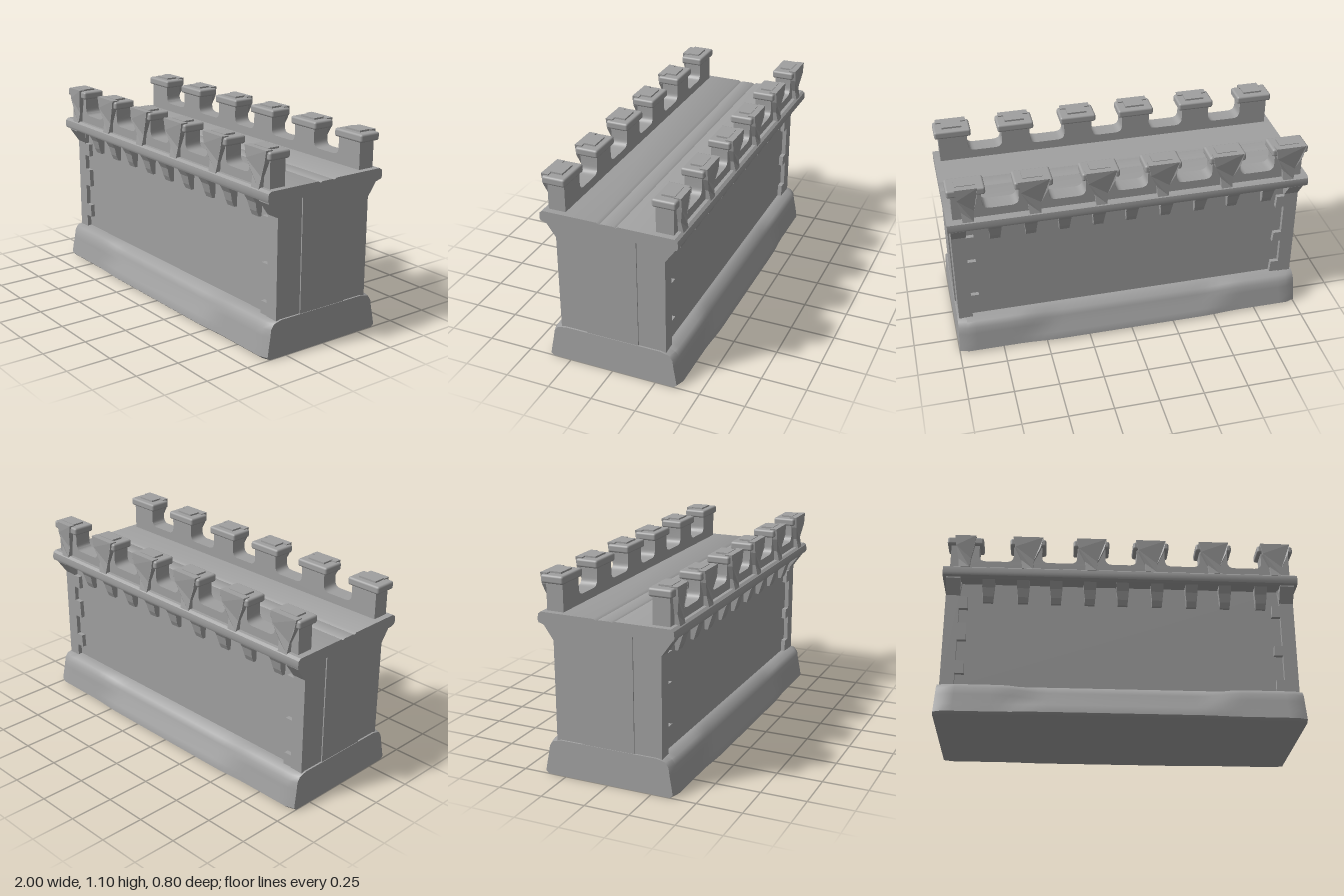
import * as THREE from 'three';
import { toCreasedNormals } from 'three/addons/utils/BufferGeometryUtils.js';
import { RoundedBoxGeometry } from 'three/addons/geometries/RoundedBoxGeometry.js';

const stone = new THREE.MeshStandardMaterial({ color: 0xa0a0a0 });
stone.name = 'stone grey';

const MERLONS = [-0.885, -0.53, -0.17, 0.17, 0.53, 0.885];
const CORBELS = [-0.745, -0.55, -0.365, -0.175, 0.01, 0.205, 0.4, 0.59, 0.795];

function add(parent, name, geometry, x = 0, y = 0, z = 0) {
  const mesh = new THREE.Mesh(geometry, stone);
  mesh.name = name;
  mesh.position.set(x, y, z);
  parent.add(mesh);
  return mesh;
}

const shapeOf = (pts) => new THREE.Shape(pts.map(([a, b]) => new THREE.Vector2(a, b)));

// Extrude a [z, y] profile along x, centred on x = 0
function alongX(pts, length, steps = 1) {
  const g = new THREE.ExtrudeGeometry(shapeOf(pts.map(([z, y]) => [-z, y])), { depth: length, steps, bevelEnabled: false });
  return g.translate(0, 0, -length / 2).rotateY(Math.PI / 2);
}

// Extrude an [x, y] outline from z0 to z1
function alongZ(shape, z0, z1) {
  return new THREE.ExtrudeGeometry(shape, { depth: z1 - z0, bevelEnabled: false, curveSegments: 5 }).translate(0, 0, z0);
}

// Complete a half profile by reflecting it in z
const bothSides = (half) => [...half, ...half.slice().reverse().map(([z, y]) => [-z, y])];

// Plinth: flared ends, with a softer, wider middle
function baseGeometry() {
  const g = alongX(bothSides([[0.37, 0], [0.388, 0.015], [0.38, 0.06], [0.368, 0.12], [0.362, 0.16], [0.342, 0.188], [0.29, 0.2]]), 2, 40);
  const p = g.attributes.position;
  for (let i = 0; i < p.count; i++) {
    const x = p.getX(i), y = p.getY(i), z = p.getZ(i), a = Math.abs(x);
    const middle = 1 - THREE.MathUtils.smoothstep(a, 0.42, 0.66);
    const corner = a > 0.98 ? 0.955 : 1;
    const spread = y < 0.08 ? 1 + 0.028 * middle : y < 0.195 ? 1 - 0.035 * middle : 1;
    const drop = y > 0.1 && y < 0.195 ? 0.018 * middle : 0;
    p.setXYZ(i, x * (1 - 0.04 * y), y - drop, z * corner * spread);
  }
  return toCreasedNormals(g, 0.75);
}

// Toothed corner stones; side is -1 or 1 and teeth are [bottom, top] pairs
function quoin(side, teeth) {
  const pts = [[side * 0.982, 0.19], [side * 0.905, 0.19]];
  for (const [low, high] of teeth) {
    pts.push([side * 0.905, low], [side * 0.855, low], [side * 0.86, high], [side * 0.905, high]);
  }
  pts.push([side * 0.895, 0.84], [side * 0.982, 0.84]);
  return alongZ(shapeOf(pts), 0.26, 0.305);
}

// Parapet outline: low wall with rounded gaps between the merlons
function parapetShape() {
  const s = new THREE.Shape(), w = 0.08, r = 0.04, low = 0.945, top = 1.06;
  s.moveTo(MERLONS[0] - w, 0.88);
  MERLONS.forEach((x, i) => {
    s.lineTo(x - w, top);
    s.lineTo(x + w, top);
    if (i === MERLONS.length - 1) return;
    const next = MERLONS[i + 1] - w;
    s.lineTo(x + w, low + r);
    s.quadraticCurveTo(x + w, low, x + w + r, low);
    s.lineTo(next - r, low);
    s.quadraticCurveTo(next, low, next, low + r);
  });
  s.lineTo(MERLONS[5] + w, 0.88);
  return s;
}

// Tapering hanging bracket on the outside of each merlon
function bracketGeometry(w) {
  const g = alongZ(shapeOf([[-0.03, 0.89], [0.03, 0.89], [0.035, 0.95], [w * 0.85, 1.03], [w, 1.095], [-w, 1.095], [-w * 0.85, 1.03], [-0.035, 0.95]]), 0.335, 0.376);
  const p = g.attributes.position;
  for (let i = 0; i < p.count; i++) {
    // slim waist at the middle of the bracket
    if (p.getZ(i) > 0.36 && p.getY(i) > 0.93 && p.getY(i) < 1) p.setZ(i, 0.364);
  }
  g.computeVertexNormals();
  return g;
}

// Everything on one long face of the wall
function longFace() {
  const face = new THREE.Group();
  add(face, 'leftQuoin', quoin(1, [[0.2, 0.27], [0.42, 0.48], [0.66, 0.73]]));
  add(face, 'rightQuoin', quoin(-1, [[0.27, 0.345], [0.47, 0.575], [0.665, 0.74]]));

  // Flared brackets carrying the slab at both corners
  const flare = alongX([[0.27, 0.745], [0.305, 0.745], [0.362, 0.825], [0.362, 0.84], [0.27, 0.84]], 0.08);
  for (const s of [-1, 1]) add(face, 'cornerFlare', flare, s * 0.942);

  const corbel = alongX([[0.26, 0.71], [0.298, 0.71], [0.312, 0.74], [0.325, 0.79], [0.355, 0.84], [0.26, 0.84]], 0.07);
  const p = corbel.attributes.position;
  for (let i = 0; i < p.count; i++) p.setX(i, p.getX(i) * (p.getY(i) < 0.76 ? 0.8 : 1));
  corbel.computeVertexNormals();
  for (const x of CORBELS) add(face, 'corbel', corbel, x);

  add(face, 'parapet', toCreasedNormals(alongZ(parapetShape(), 0.25, 0.346), 0.6));
  const cap = new RoundedBoxGeometry(0.205, 0.045, 0.13, 2, 0.012);
  const capPlate = new THREE.BoxGeometry(0.11, 0.016, 0.07);
  MERLONS.forEach((x, i) => {
    add(face, 'merlonCap', cap, x, 1.066, 0.301);
    add(face, 'capPlate', capPlate, x, 1.09, 0.306);
    add(face, 'merlonBracket', bracketGeometry(i === 0 ? 0.06 : 0.085), x);
  });
  return face;
}

export function createModel() {
  const wall = new THREE.Group();
  wall.name = 'castleWall';

  add(wall, 'base', baseGeometry());
  add(wall, 'wallCore', new THREE.BoxGeometry(1.964, 0.68, 0.56), 0, 0.515, 0);
  for (const s of [-1, 1]) add(wall, 'endStrip', new THREE.BoxGeometry(0.02, 0.65, 0.3), s * 0.979, 0.515, 0);

  // Walkway slab with two shallow grooves
  const slab = bothSides([[0.35, 0.83], [0.378, 0.838], [0.384, 0.852], [0.38, 0.885], [0.365, 0.896], [0.06, 0.896], [0.045, 0.887], [0.035, 0.893]]);
  add(wall, 'walkwaySlab', toCreasedNormals(alongX(slab, 2), 0.6));

  const front = longFace();
  front.name = 'frontFace';
  const back = longFace();
  back.name = 'backFace';
  back.rotation.y = Math.PI;
  wall.add(front, back);
  return wall;
}
